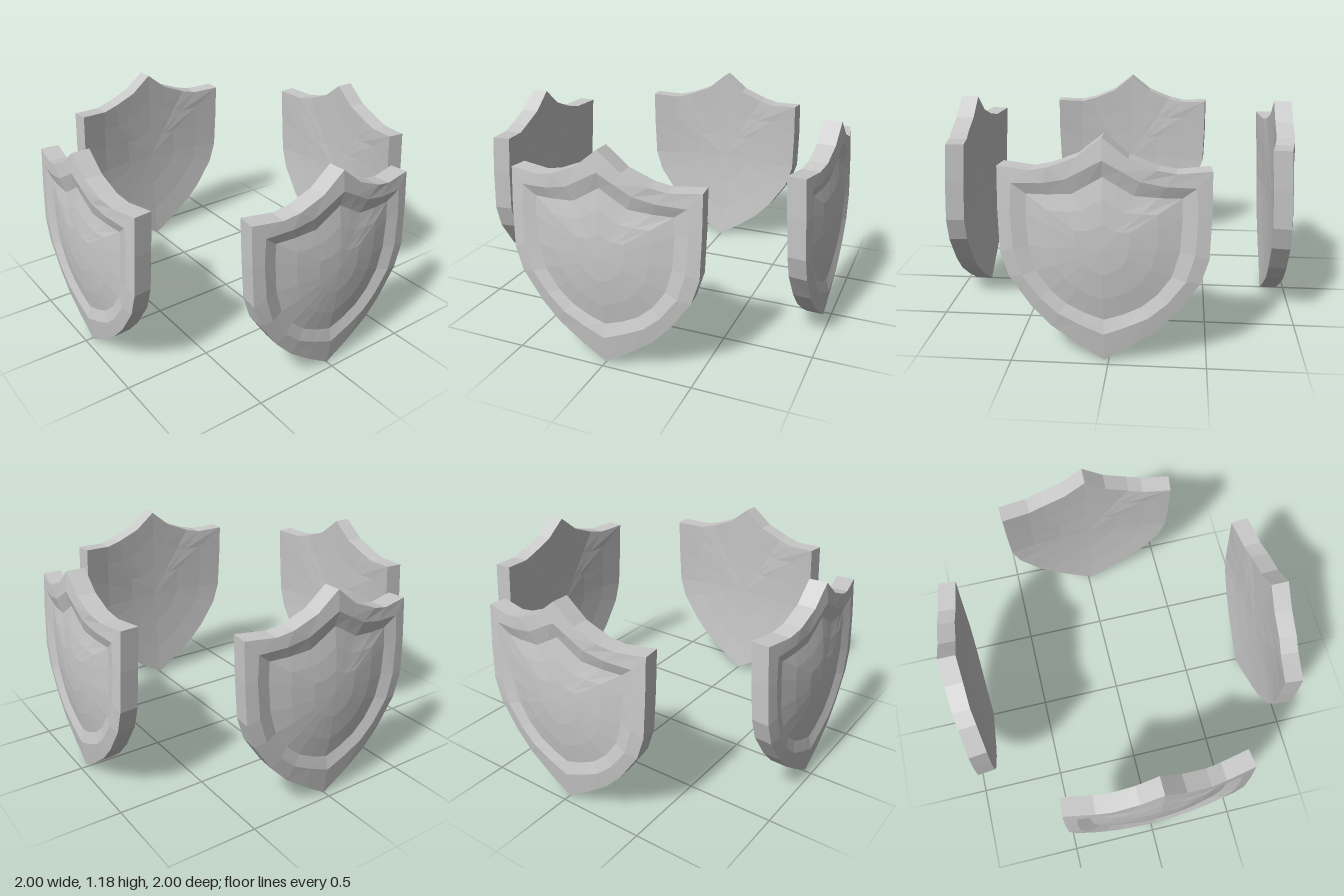
import * as THREE from 'three';

// Right-hand half outlines, from the top peak round to the bottom tip: [x, y, z]
const RIM = [
  [0, 1.18, 0.975], [0.125, 1.08, 0.975], [0.265, 1.025, 0.97], [0.355, 1.005, 0.955],
  [0.522, 1.015, 0.925], [0.525, 0.8, 0.94], [0.52, 0.58, 0.952], [0.48, 0.45, 0.955],
  [0.37, 0.29, 0.958], [0.27, 0.185, 0.96], [0.14, 0.09, 0.96], [0, 0, 0.957],
];
const BEVEL_OUTER = [
  [0, 1.07, 0.988], [0.09, 1.02, 0.985], [0.18, 0.97, 0.98], [0.3, 0.945, 0.968],
  [0.45, 0.935, 0.945], [0.46, 0.8, 0.952], [0.45, 0.6, 0.963], [0.41, 0.46, 0.968],
  [0.32, 0.34, 0.972], [0.23, 0.26, 0.975], [0.12, 0.205, 0.976], [0, 0.155, 0.976],
];
const BEVEL_INNER = [
  [0, 0.985, 0.965], [0.075, 0.94, 0.965], [0.15, 0.895, 0.962], [0.27, 0.885, 0.952],
  [0.38, 0.88, 0.935], [0.385, 0.78, 0.94], [0.375, 0.61, 0.945], [0.34, 0.48, 0.948],
  [0.27, 0.38, 0.952], [0.19, 0.31, 0.955], [0.1, 0.265, 0.957], [0, 0.23, 0.957],
];
const THICKNESS = 0.1;

// Closes a half outline by mirroring it to -x
const mirror = (half) => [...half, ...half.slice(1, -1).reverse().map(([x, y, z]) => [-x, y, z])];

// Shrinks a loop towards a centre point, with a rounded change of depth
const shrink = (loop, centre, t) => loop.map(([x, y, z]) => [
  x + (centre[0] - x) * t,
  y + (centre[1] - y) * t,
  z + (centre[2] - z) * (1 - (1 - t) ** 2),
]);

// Skins consecutive loops, ordered from the back centre to the front centre
function loft(loops) {
  const pos = [];
  const n = loops[0].length;
  for (let k = 0; k < loops.length - 1; k++) {
    const a = loops[k], b = loops[k + 1];
    for (let i = 0; i < n; i++) {
      const j = (i + 1) % n;
      if (k > 0) pos.push(...a[j], ...a[i], ...b[i]);
      if (k < loops.length - 2) pos.push(...a[j], ...b[i], ...b[j]);
      else if (k === 0) pos.push(...a[j], ...b[i], ...b[j]);
    }
  }
  const geo = new THREE.BufferGeometry();
  geo.setAttribute('position', new THREE.Float32BufferAttribute(pos, 3));
  geo.computeVertexNormals();
  return geo;
}

function shieldGeometry() {
  const rim = mirror(RIM), inner = mirror(BEVEL_INNER);
  const back = rim.map(([x, y, z]) => [x * 0.98, y, z - THICKNESS]);
  const backCentre = [0, 0.6, 0.89], frontCentre = [0, 0.63, 0.998];
  return loft([
    ...[1, 0.65, 0.3].map((t) => shrink(back, backCentre, t)), // hollow back
    back, rim, // edge wall
    mirror(BEVEL_OUTER), inner, // flat border and step down
    ...[0.3, 0.65, 1].map((t) => shrink(inner, frontCentre, t)), // domed panel
  ]);
}

export function createModel() {
  const model = new THREE.Group();
  model.name = 'shieldRing';
  const steel = new THREE.MeshStandardMaterial({ color: 0xc8c8c8 });
  steel.name = 'paleSteel';
  steel.flatShading = true;

  // Four shields facing outwards
  const geometry = shieldGeometry();
  const turns = {
    frontShield: 0,
    leftShield: Math.PI / 2 - 0.025,
    backShield: Math.PI,
    rightShield: -Math.PI / 2 + 0.015,
  };
  for (const [name, angle] of Object.entries(turns)) {
    const shield = new THREE.Mesh(geometry, steel);
    shield.name = name;
    shield.rotation.y = angle;
    model.add(shield);
  }
  return model;
}
